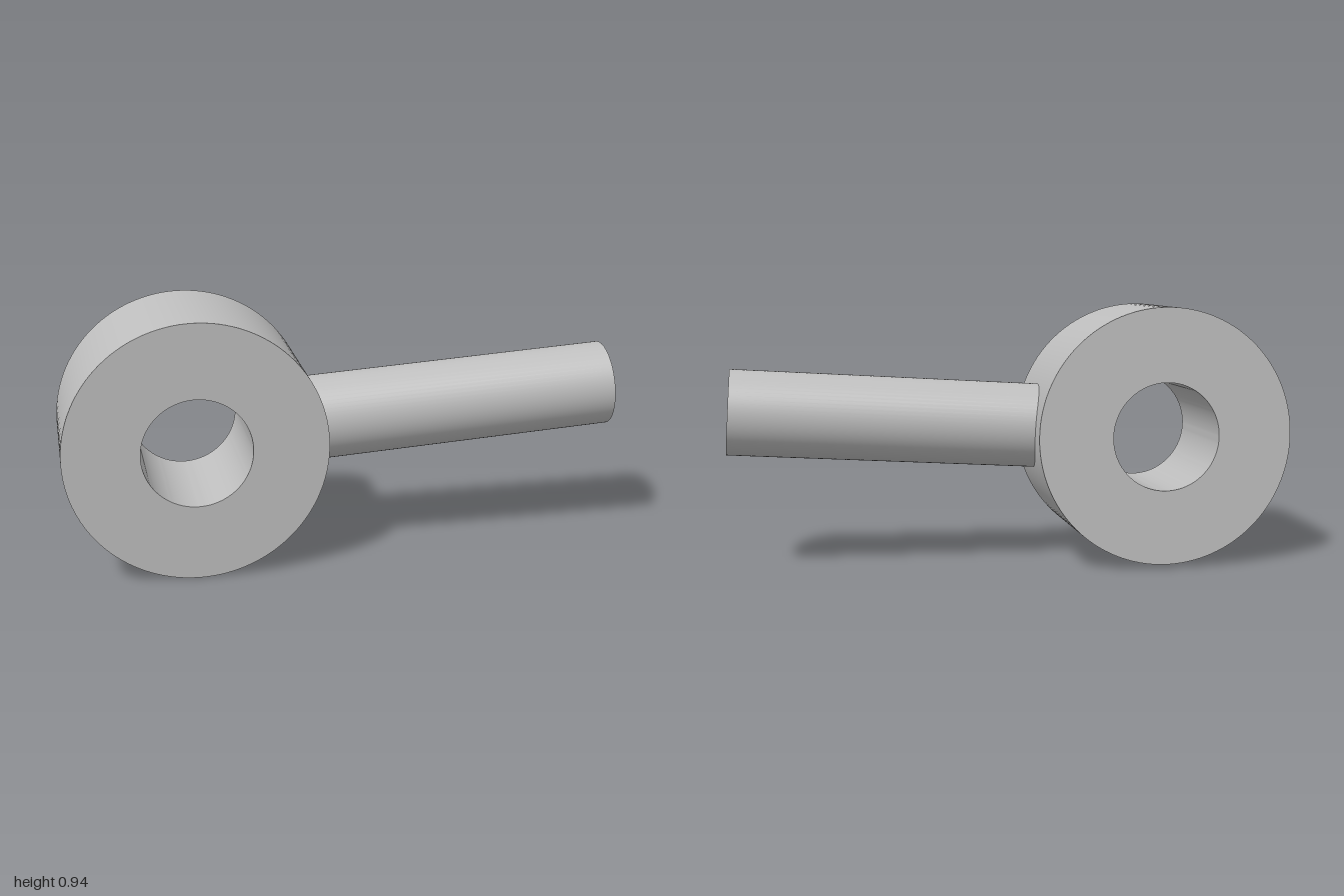
import * as THREE from 'three';
import { toCreasedNormals } from 'three/addons/utils/BufferGeometryUtils.js';

export function createModel() {
  const model = new THREE.Group();
  model.name = 'ringWithShaft';
  const grey = new THREE.MeshStandardMaterial({ color: 0xbfbfbf });
  grey.name = 'grey';

  const outerRadius = 0.466, holeRadius = 0.196, ringWidth = 0.468;
  const shaftRadius = 0.154, shaftStart = 0.3, shaftEnd = 1.555;

  // Ring: bored disc, axis along local z
  const outline = new THREE.Shape().absarc(0, 0, outerRadius, 0, Math.PI * 2, false);
  outline.holes.push(new THREE.Path().absarc(0, 0, holeRadius, 0, Math.PI * 2, true));
  const ringGeometry = new THREE.ExtrudeGeometry(outline, {
    depth: ringWidth, bevelEnabled: false, curveSegments: 64,
  }).translate(0, 0, -ringWidth / 2);
  const ring = new THREE.Mesh(toCreasedNormals(ringGeometry, 0.6), grey);
  ring.name = 'ring';

  // Shaft: plain rod leaving the rim along local x, rooted inside the ring wall
  const shaftLength = shaftEnd - shaftStart;
  const shaft = new THREE.Mesh(
    new THREE.CylinderGeometry(shaftRadius, shaftRadius, shaftLength, 64)
      .rotateZ(-Math.PI / 2)
      .translate(shaftStart + shaftLength / 2, 0, 0),
    grey,
  );
  shaft.name = 'shaft';

  // Tilt the whole part: bore axis and shaft direction give the local frame
  const body = new THREE.Group();
  body.name = 'body';
  const bore = new THREE.Vector3(0.425, -0.013, 0.195).normalize();
  const rod = new THREE.Vector3(0.6425, 0.1025, -1.4125);
  rod.addScaledVector(bore, -rod.dot(bore)).normalize();
  const side = new THREE.Vector3().crossVectors(bore, rod);
  body.quaternion.setFromRotationMatrix(new THREE.Matrix4().makeBasis(rod, side, bore));
  body.position.set(-0.193, 0.474, 0.477);
  body.add(ring, shaft);
  model.add(body);
  return model;
}
